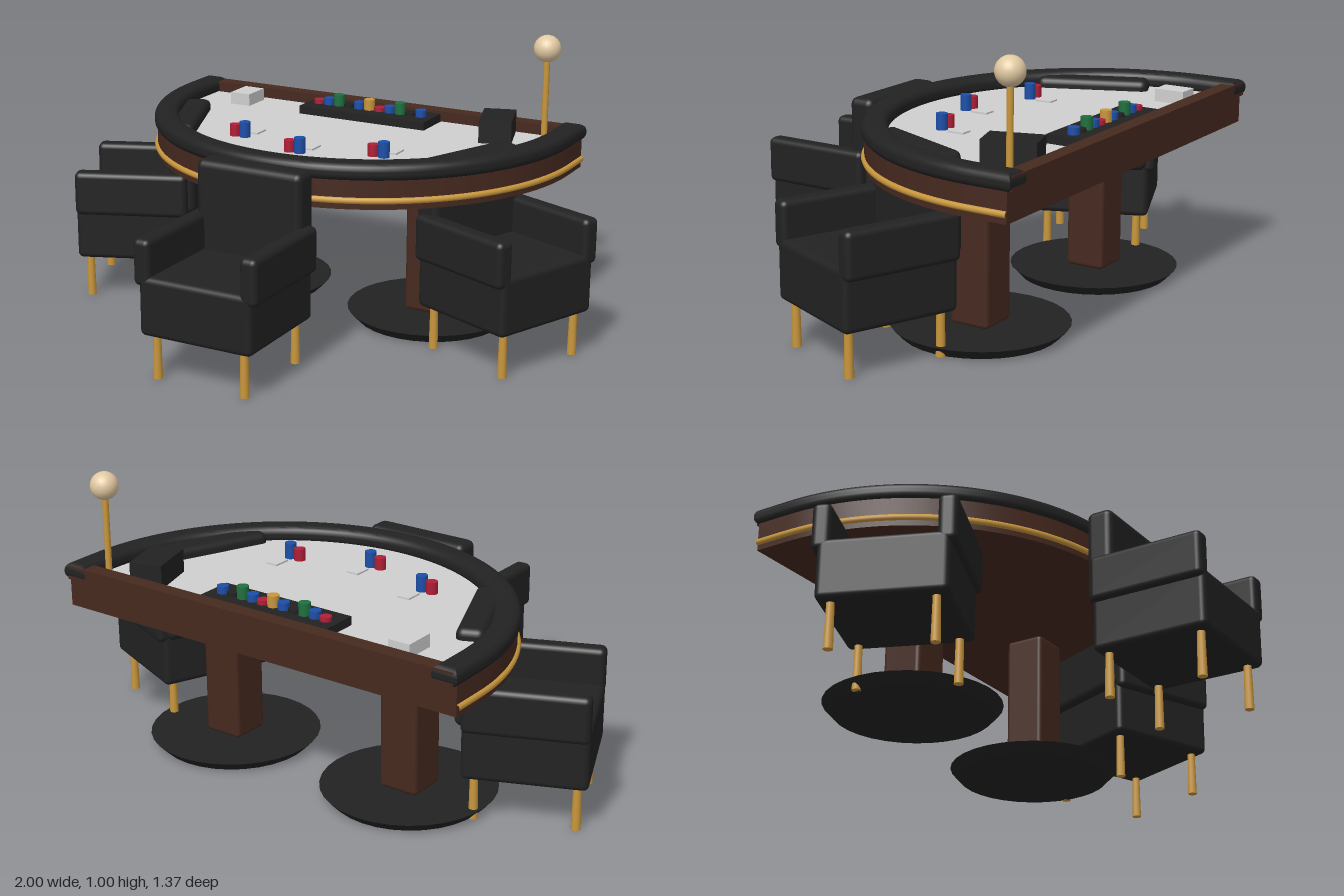
import * as THREE from 'three';
import { toCreasedNormals } from 'three/addons/utils/BufferGeometryUtils.js';
import { RoundedBoxGeometry } from 'three/addons/geometries/RoundedBoxGeometry.js';

const mat = (name, color) => Object.assign(new THREE.MeshStandardMaterial({ color }), { name });
const ARC_Z = -0.545; // centre of the round front edge
const BACK_Z = -0.67; // straight dealer edge

export function createModel() {
  const black = mat('black leather', 0x222222);
  const wood = mat('dark wood', 0x46291f);
  const gold = mat('brass', 0xc8963c);
  const felt = mat('pale felt', 0xcfcfcf);
  const cream = mat('cream globe', 0xe2c9a2);
  const red = mat('red chip', 0xb01e36);
  const blue = mat('blue chip', 0x1c4fa8);
  const green = mat('green chip', 0x1f7040);

  const model = new THREE.Group();
  model.name = 'cardTable';

  const add = (parent, name, geo, material, x = 0, y = 0, z = 0) => {
    const mesh = new THREE.Mesh(geo, material);
    mesh.name = name;
    mesh.position.set(x, y, z);
    parent.add(mesh);
    return mesh;
  };
  const box = (parent, name, material, w, h, d, x, y, z) =>
    add(parent, name, new THREE.BoxGeometry(w, h, d), material, x, y, z);
  const soft = (parent, name, material, w, h, d, x, y, z, r = 0.02) =>
    add(parent, name, new RoundedBoxGeometry(w, h, d, 3, r), material, x, y, z);

  // D-shaped outline in x and z
  const dShape = (r, back = BACK_Z) => {
    const s = new THREE.Shape();
    s.moveTo(-r, back).lineTo(r, back).lineTo(r, ARC_Z);
    s.absarc(0, ARC_Z, r, 0, Math.PI, false);
    return s;
  };
  // Lays an extruded plan flat, from y0 up to y1
  const slab = (shape, y0, y1, bevel = 0) => {
    const geo = new THREE.ExtrudeGeometry(shape, {
      depth: y1 - y0 - 2 * bevel, curveSegments: 48, bevelEnabled: bevel > 0,
      bevelSize: bevel, bevelThickness: bevel, bevelSegments: 5,
    });
    geo.rotateX(Math.PI / 2).translate(0, y1 - bevel, 0);
    return toCreasedNormals(geo, 0.6);
  };

  // Table top
  const table = new THREE.Group();
  table.name = 'table';
  model.add(table);
  add(table, 'tableBody', slab(dShape(0.78), 0.52, 0.62), wood);
  add(table, 'feltTop', slab(dShape(0.71, -0.64), 0.62, 0.628), felt);
  box(table, 'dealerRail', wood, 1.55, 0.047, 0.055, 0, 0.643, -0.6575);

  // Padded armrest: a horseshoe with rounded edges
  const bevel = 0.027, outer = 0.79 - bevel, inner = 0.70 + bevel, end = BACK_Z + 0.01;
  const horseshoe = new THREE.Shape();
  horseshoe.moveTo(outer, end).lineTo(outer, ARC_Z);
  horseshoe.absarc(0, ARC_Z, outer, 0, Math.PI, false);
  horseshoe.lineTo(-outer, end).lineTo(-inner, end).lineTo(-inner, ARC_Z);
  horseshoe.absarc(0, ARC_Z, inner, Math.PI, 0, true);
  horseshoe.lineTo(inner, end);
  add(table, 'paddedArmrest', slab(horseshoe, 0.615, 0.677, bevel), black);

  // Brass trim around the apron
  const trimPoints = [new THREE.Vector3(0.78, 0, BACK_Z)];
  for (let i = 0; i <= 32; i++) {
    const a = (i / 32) * Math.PI;
    trimPoints.push(new THREE.Vector3(0.78 * Math.cos(a), 0, ARC_Z + 0.78 * Math.sin(a)));
  }
  trimPoints.push(new THREE.Vector3(-0.78, 0, BACK_Z));
  add(table, 'brassTrim', new THREE.TubeGeometry(new THREE.CatmullRomCurve3(trimPoints), 96, 0.011, 8),
    gold, 0, 0.55, 0);

  // Two pedestals
  for (const side of [-1, 1]) {
    soft(table, 'pedestalColumn', wood, 0.145, 0.49, 0.145, side * 0.372, 0.278, -0.313, 0.015);
    add(table, 'pedestalBase', new THREE.CylinderGeometry(0.298, 0.265, 0.035, 32), black,
      side * 0.37, 0.0175, -0.313);
  }

  // Dealer equipment
  const top = 0.628;
  box(table, 'chipTray', black, 0.51, 0.03, 0.145, -0.005, top + 0.015, -0.553);
  box(table, 'discardBox', felt, 0.08, 0.045, 0.11, -0.52, top + 0.0225, -0.54);
  const shoe = box(table, 'cardShoe', black, 0.115, 0.082, 0.18, 0.517, top + 0.041, -0.525);
  shoe.rotation.y = 0.3;

  // Lamp
  add(table, 'lampPole', new THREE.CylinderGeometry(0.011, 0.011, 0.29, 16), gold, 0.662, 0.77, -0.605);
  add(table, 'lampGlobe', new THREE.SphereGeometry(0.048, 24, 16), cream, 0.662, 0.95, -0.605);

  // Chip stacks in the tray and at the betting places
  const chips = (name, material, x, z, y0, y1) =>
    add(table, name, new THREE.CylinderGeometry(0.02, 0.02, y1 - y0, 16), material, x, (y0 + y1) / 2, z);
  const trayColours = [red, blue, green, black, blue, gold, red, blue, green, black, blue];
  const trayTops = new Map([[red, 0.673], [blue, 0.683], [green, 0.7], [black, 0.67], [gold, 0.697]]);
  trayColours.forEach((m, i) =>
    chips('trayChips', m, -0.215 + i * 0.0418, -0.555, top + 0.02, trayTops.get(m)));
  for (const [x, z] of [[-0.29, -0.1], [-0.018, -0.01], [0.26, -0.1]]) {
    chips('betChipsRed', red, x - 0.02, z, top, 0.67);
    chips('betChipsBlue', blue, x + 0.02, z, top, 0.683);
    box(table, 'playingCard', felt, 0.045, 0.006, 0.062, x + 0.025, top + 0.004, z - 0.07);
  }

  // Armchair, facing +z
  const makeChair = (x, z, turn) => {
    const chair = new THREE.Group();
    chair.name = 'armchair';
    chair.position.set(x, 0, z);
    chair.rotation.y = turn;
    soft(chair, 'seat', black, 0.42, 0.205, 0.41, 0, 0.255, 0);
    soft(chair, 'backrest', black, 0.4, 0.335, 0.095, 0, 0.498, -0.183, 0.025);
    for (const sx of [-1, 1]) {
      soft(chair, 'arm', black, 0.063, 0.16, 0.41, sx * 0.199, 0.402, 0);
      for (const sz of [-1, 1]) {
        add(chair, 'leg', new THREE.CylinderGeometry(0.013, 0.016, 0.16, 12), gold,
          sx * 0.165, 0.08, sz * 0.166);
      }
    }
    model.add(chair);
  };
  makeChair(0, 0.48, 0);
  for (const side of [-1, 1]) makeChair(side * 0.728, -0.122, side * Math.PI * 0.375);

  return model;
}
